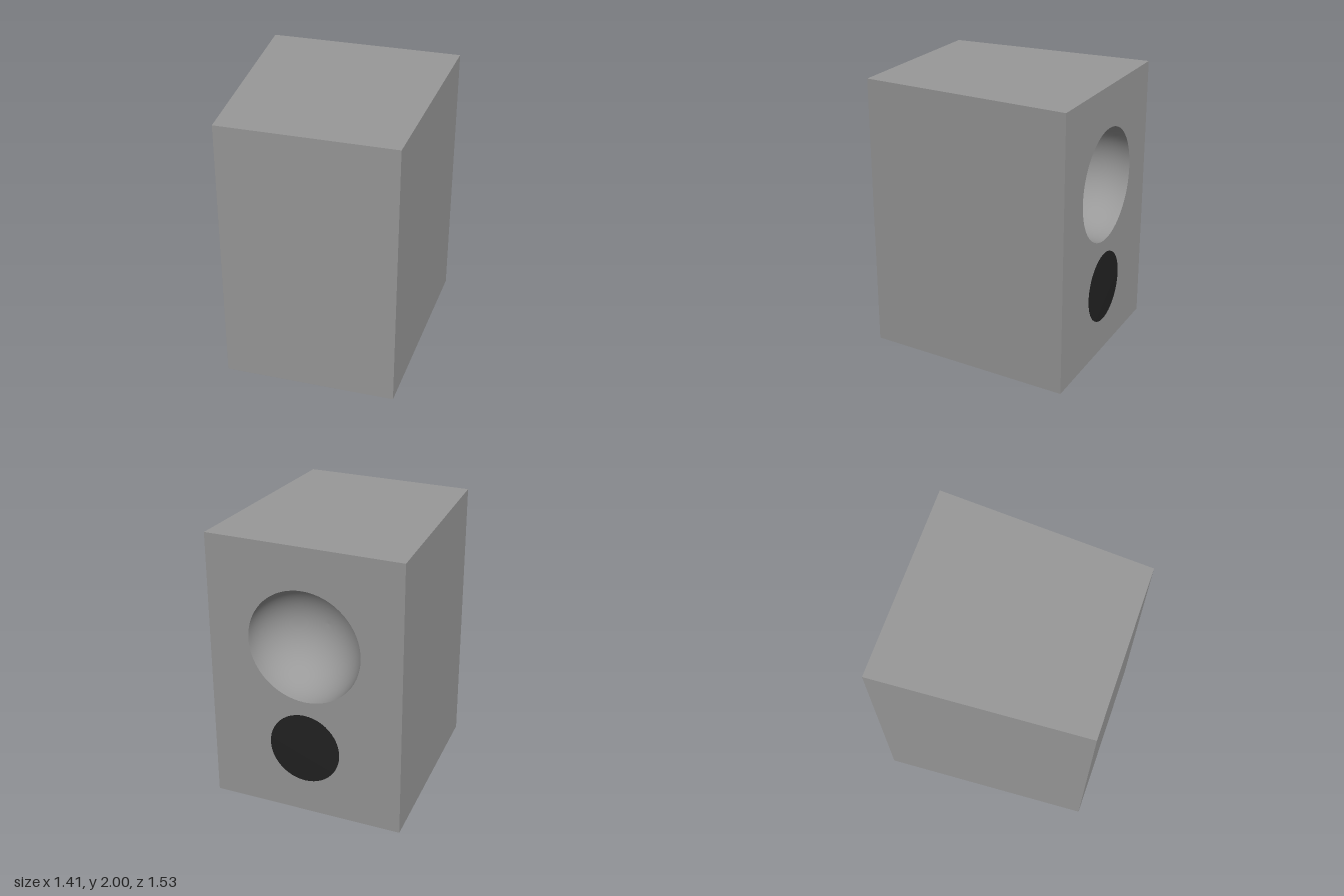
import * as THREE from 'three';
import { mergeVertices } from 'three/addons/utils/BufferGeometryUtils.js';

const HEIGHT = 2, FRONT_Z = 0.765, BACK_Z = -0.762;
const FRONT_HALF = 0.62, BACK_HALF = 0.705;
const BOWL_Y = 1.286, BOWL_R = 0.41;
const DISC_Y = 0.51, DISC_R = 0.26;

export function createModel() {
  const grey = new THREE.MeshStandardMaterial({ color: 0x999999, side: THREE.DoubleSide });
  grey.name = 'cabinet grey';
  const black = new THREE.MeshStandardMaterial({ color: 0x222222 });
  black.name = 'disc black';

  const group = new THREE.Group();
  const add = (name, geometry, material, x, y, z) => {
    const mesh = new THREE.Mesh(geometry, material);
    mesh.name = name;
    mesh.position.set(x, y, z);
    group.add(mesh);
  };

  // Cabinet: box wider at the back, its back side left open for the panel
  const cabinet = new THREE.BoxGeometry(2, HEIGHT, 2);
  const pos = cabinet.attributes.position;
  for (let i = 0; i < pos.count; i++) {
    const front = pos.getZ(i) > 0;
    pos.setX(i, pos.getX(i) * (front ? FRONT_HALF : BACK_HALF));
    pos.setZ(i, front ? FRONT_Z : BACK_Z);
  }
  cabinet.setIndex(Array.from(cabinet.index.array).slice(0, 30));
  cabinet.clearGroups();
  cabinet.computeVertexNormals();
  add('cabinet', cabinet, grey, 0, HEIGHT / 2, 0);

  // Back panel with a round opening
  const panel = new THREE.Shape();
  panel.moveTo(-BACK_HALF, 0);
  panel.lineTo(BACK_HALF, 0);
  panel.lineTo(BACK_HALF, HEIGHT);
  panel.lineTo(-BACK_HALF, HEIGHT);
  panel.closePath();
  panel.holes.push(new THREE.Path().absarc(0, BOWL_Y, BOWL_R, 0, Math.PI * 2, true));
  add('backPanel', new THREE.ShapeGeometry(panel, 32).rotateY(Math.PI), grey, 0, 0, BACK_Z);

  // Large recessed bowl, profile from its deepest point out to the rim
  const profile = [];
  for (let i = 0; i <= 16; i++) {
    const a = (i / 16) * Math.PI / 2;
    profile.push(new THREE.Vector2(BOWL_R * Math.sin(a), BOWL_R * Math.cos(a)));
  }
  const bowl = new THREE.LatheGeometry(profile, 64).rotateX(Math.PI / 2);
  add('largeBowl', bowl, grey, 0, BOWL_Y, BACK_Z);

  // Small dark disc, softly shaded across its rim
  let disc = new THREE.CylinderGeometry(DISC_R, DISC_R, 0.006, 48).rotateX(Math.PI / 2);
  disc.deleteAttribute('normal');
  disc.deleteAttribute('uv');
  disc.clearGroups();
  disc = mergeVertices(disc);
  disc.computeVertexNormals();
  add('smallDisc', disc, black, 0.005, DISC_Y, BACK_Z - 0.001);

  return group;
}
